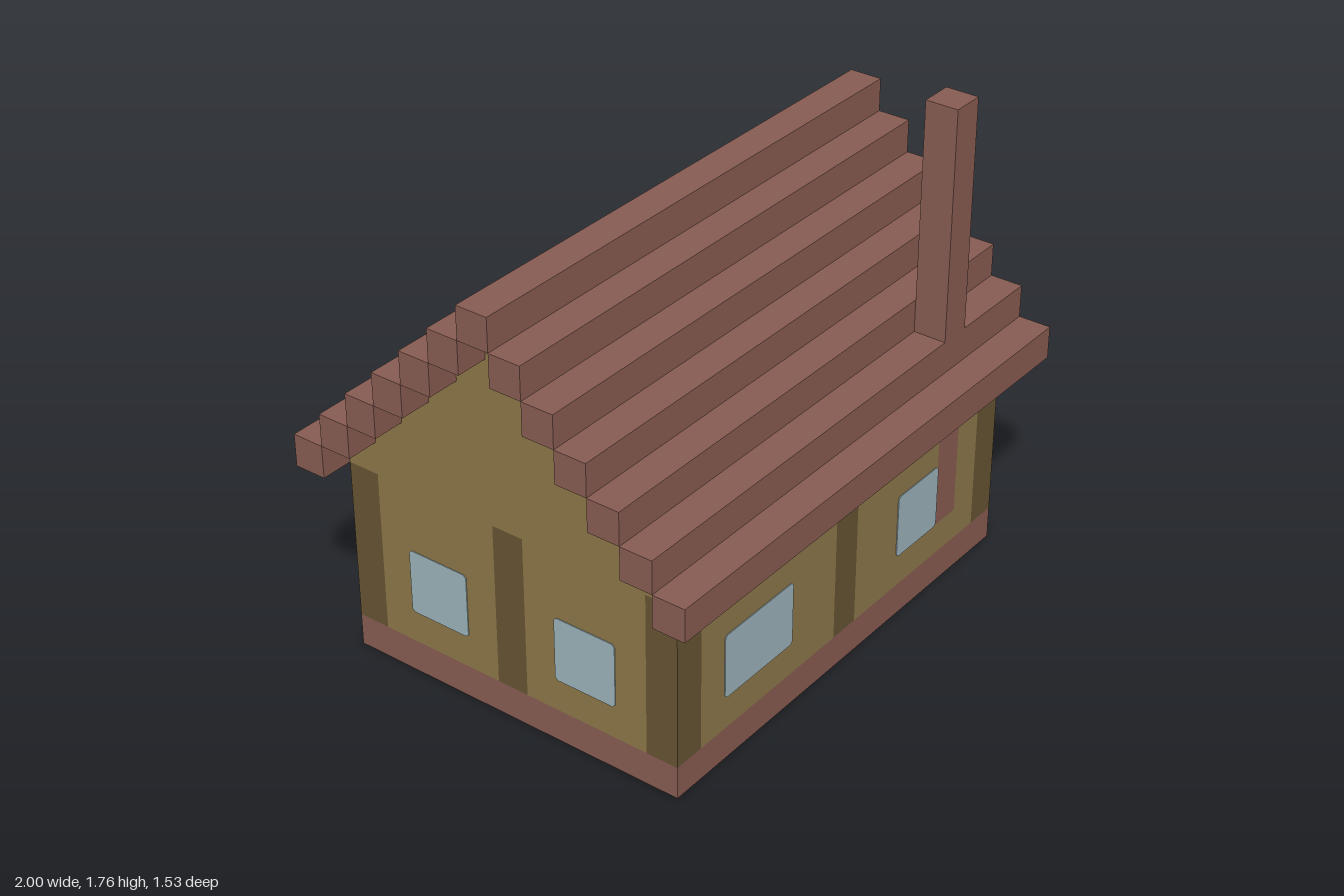
import * as THREE from 'three';

// Everything sits on a grid of blocks; the roof is 17 blocks long.
const U = 2 / 17;

const paint = (name, color) => {
  const m = new THREE.MeshStandardMaterial({ color });
  m.name = name;
  return m;
};

export function createModel() {
  const brick = paint('brick red', 0x885c52);
  const plank = paint('plank brown', 0x8d7849);
  const timber = paint('dark timber', 0x665434);
  const glass = paint('pale blue glass', 0x9cb4bc);
  const stone = paint('grey stone', 0x868686);

  const house = new THREE.Group();
  house.name = 'house';

  const add = (parent, name, geometry, material) => {
    const mesh = new THREE.Mesh(geometry, material);
    mesh.name = name;
    parent.add(mesh);
    return mesh;
  };
  const section = (name) => {
    const g = new THREE.Group();
    g.name = name;
    house.add(g);
    return g;
  };
  // Box given by its limits in blocks
  const block = (parent, name, material, x0, x1, y0, y1, z0, z1) => {
    const geometry = new THREE.BoxGeometry((x1 - x0) * U, (y1 - y0) * U, (z1 - z0) * U);
    add(parent, name, geometry, material)
      .position.set((x0 + x1) / 2 * U, (y0 + y1) / 2 * U, (z0 + z1) / 2 * U);
  };

  // Brick foundation ring around a plank floor
  const base = section('foundation');
  for (const s of [-1, 1]) {
    block(base, 'foundationLong', brick, -7.5, 7.5, 0, 1, s * 5 - 0.5, s * 5 + 0.5);
    block(base, 'foundationShort', brick, s * 7 - 0.5, s * 7 + 0.5, 0, 1, -4.5, 4.5);
  }
  block(base, 'floor', plank, -6.5, 6.5, 0, 1, -4.5, 4.5);

  // Timber posts; the back centre one stops above the doorway
  const posts = section('posts');
  for (const x of [-7, 0, 7]) {
    for (const z of [-5, 0, 5]) {
      if (x === 0 && z === 0) continue;
      const bottom = x === 0 && z === -5 ? 3 : 1;
      block(posts, 'post', timber, x - 0.5, x + 0.5, bottom, 6, z - 0.5, z + 0.5);
    }
  }

  // Plank walls between the posts, leaving room for the chimney in front
  const walls = section('walls');
  for (const [x0, x1] of [[-6.5, -0.5], [0.5, 6.5]]) {
    block(walls, 'backWall', plank, x0, x1, 1, 6, -5.5, -4.5);
  }
  block(walls, 'frontWall', plank, -6.5, -0.5, 1, 6, 4.5, 5.5);
  block(walls, 'frontWall', plank, 0.5, 4.5, 1, 6, 4.5, 5.5);
  block(walls, 'frontWall', plank, 4.5, 5.5, 1, 2, 4.5, 5.5);
  block(walls, 'frontWall', plank, 5.5, 6.5, 1, 6, 4.5, 5.5);
  for (const x of [-7, 7]) {
    for (const z of [-2.5, 2.5]) {
      block(walls, 'sideWall', plank, x - 0.5, x + 0.5, 1, 6, z - 2, z + 2);
    }
  }

  // Stepped gables
  const right = [], left = [];
  for (let k = 0; k < 6; k++) {
    for (const y of [6 + k, 7 + k]) {
      right.push(new THREE.Vector2((5.5 - k) * U, y * U));
      left.unshift(new THREE.Vector2((k - 5.5) * U, y * U));
    }
  }
  const gableShape = new THREE.Shape([...right, ...left]);
  for (const x of [-7.5, 6.5]) {
    const geometry = new THREE.ExtrudeGeometry(gableShape, { depth: U, bevelEnabled: false });
    geometry.rotateY(Math.PI / 2);
    add(walls, 'gable', geometry, plank).position.x = x * U;
  }

  // Stepped roof courses and ridge
  const roof = section('roof');
  for (let k = 0; k < 6; k++) {
    for (const s of [-1, 1]) {
      const z = s * (6 - k);
      block(roof, 'roofCourse', brick, -8.5, 8.5, 6 + k, 7 + k, z - 0.5, z + 0.5);
    }
  }
  block(roof, 'ridge', brick, -8.5, 8.5, 12, 13, -0.5, 0.5);

  // Chimney, set flush in the front wall
  block(house, 'chimney', brick, 4.5, 5.5, 2, 15, 4.5, 5.5);

  // Stone canopy and keystone over the back doorway
  const canopy = section('canopy');
  block(canopy, 'canopyBeam', stone, -6.5, 6.5, 5, 6, -6.5, -5.5);
  block(canopy, 'keystone', stone, -0.5, 0.5, 4, 5, -6.5, -5.5);

  // Thin glass panes with clipped corners
  const windows = section('windows');
  const pane = (width, x, z, angle) => {
    const w = width * U / 2, h = U, c = 0.01;
    const shape = new THREE.Shape([
      [c - w, -h], [w - c, -h], [w, c - h], [w, h - c],
      [w - c, h], [c - w, h], [-w, h - c], [-w, c - h],
    ].map(([a, b]) => new THREE.Vector2(a, b)));
    const geometry = new THREE.ExtrudeGeometry(shape, { depth: 0.003, bevelEnabled: false });
    const mesh = add(windows, 'window', geometry, glass);
    mesh.position.set(x * U, 3 * U, z * U);
    mesh.rotation.y = angle;
  };
  pane(3, -4, 5.5, 0);
  pane(2, 3.5, 5.5, 0);
  for (const s of [-1, 1]) {
    pane(3, s * 4, -5.5, Math.PI);
    for (const z of [-2.5, 2.5]) pane(2, s * 7.5, z, s * Math.PI / 2);
  }

  return house;
}
